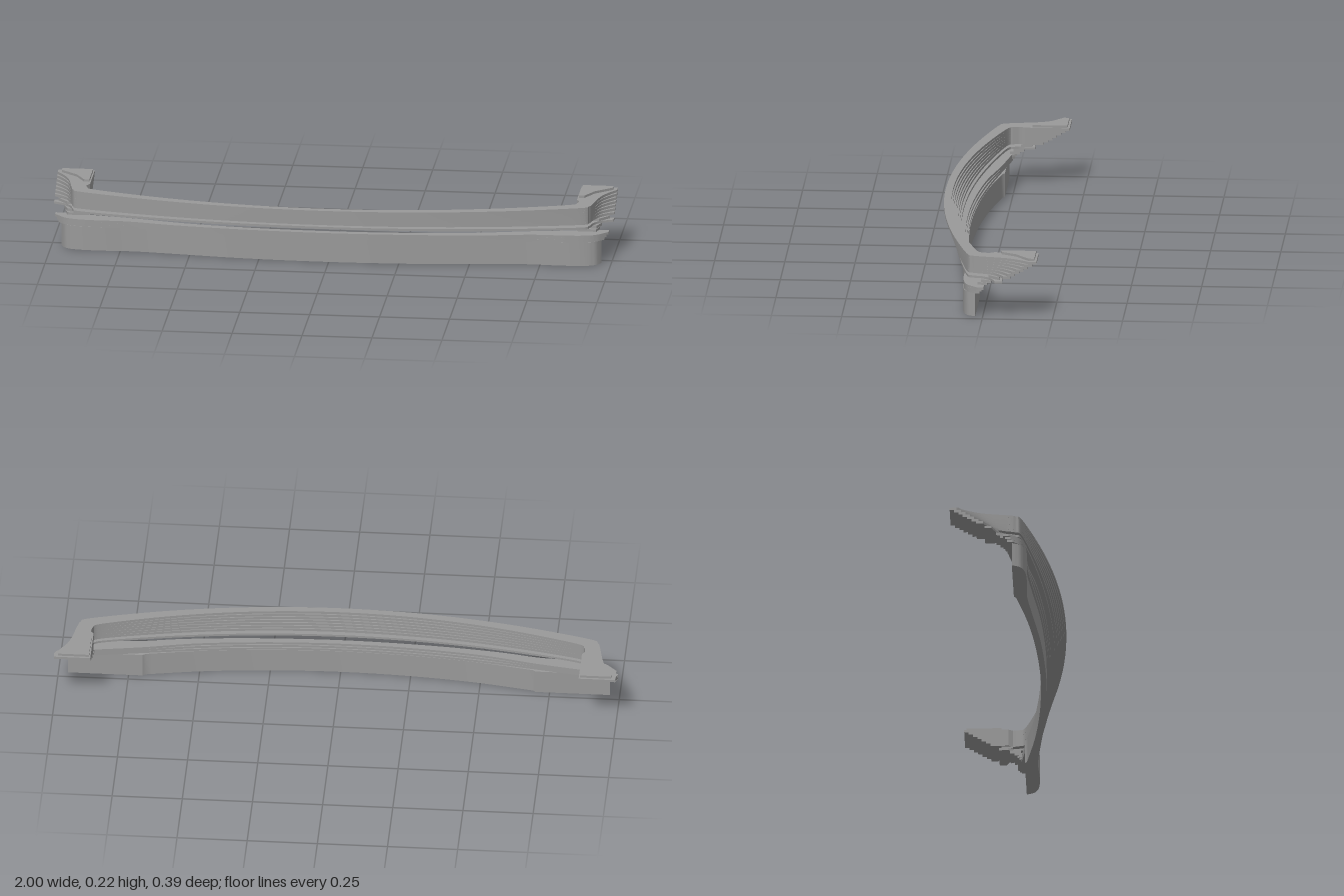
import * as THREE from 'three';
import { toCreasedNormals } from 'three/addons/utils/BufferGeometryUtils.js';

const lerp = THREE.MathUtils.lerp;
const vec = ([x, z]) => new THREE.Vector2(x, z);

// Extrudes a plan outline of [x, z] points between two heights.
function slab(name, points, y0, y1, material) {
  let geometry = new THREE.ExtrudeGeometry(new THREE.Shape(points), {
    depth: y1 - y0, bevelEnabled: false,
  });
  geometry.rotateX(Math.PI / 2);
  geometry.translate(0, y1, 0);
  geometry = toCreasedNormals(geometry, 0.5);
  const mesh = new THREE.Mesh(geometry, material);
  mesh.name = name;
  return mesh;
}

// Mirrors the +x half of a curved rail: outer edge, square end, inner edge.
function railOutline(outer, end, inner) {
  const smooth = (pts) => {
    // the spline starts at the mirrored point so it crosses x = 0 level
    const all = [...pts.slice(1).reverse().map(([x, z]) => [-x, z]), ...pts].map(vec);
    const p = new THREE.SplineCurve(all).getPoints((all.length - 1) * 6);
    return p.slice((p.length - 1) / 2);
  };
  const half = [...smooth(outer), ...end.map(vec), ...smooth(inner).reverse()];
  const left = half.slice(1, -1).reverse().map((p) => new THREE.Vector2(-p.x, p.y));
  return [...half, ...left];
}

// Points along a bow from z = front at the middle to z = side at x = reach.
function bow(front, side, reach) {
  return [0, 0.25, 0.5, 0.75, 1].map((u) => [u * reach, front - (front - side) * u * u]);
}

// Wall outline whose end wing sweeps out to x = 1 and back to z = rear.
function wingRail(front, rear, thickness) {
  const tip = rear + 0.025;
  return railOutline(
    [...bow(front, 0.062, 0.89), [0.922, 0.038], [0.932, 0.005],
      [0.95, lerp(0.005, tip, 0.5)], [0.975, lerp(0.005, tip, 0.8)], [1, tip]],
    [[1, rear], [0.87, rear], [0.87, Math.max(rear + 0.02, -0.035)]],
    [...bow(front - thickness, 0.03, 0.845), [0.875, 0.005], [0.88, -0.02]],
  );
}

export function createModel() {
  const model = new THREE.Group();
  model.name = 'steppedBumper';
  const grey = new THREE.MeshStandardMaterial({ color: 0x999999 });
  grey.name = 'grey';

  // Lower wall, bowed forward, with a bulge at each end
  model.add(slab('lowerWall', railOutline(
    [[0, 0.123], [0.3, 0.113], [0.55, 0.088], [0.7, 0.074], [0.82, 0.077],
      [0.9, 0.073], [0.945, 0.058], [0.965, 0.027]],
    [[0.7, 0.027]],
    [[0, 0.103], [0.25, 0.094], [0.48, 0.071], [0.69, 0.035]],
  ), 0, 0.087, grey));

  // Thin lips stepping out above the lower wall
  for (let i = 0; i < 3; i++) {
    const f = 0.128 + i * 0.005;
    const rear = 0.01 - i * 0.007;
    const x = 0.975 + i * 0.007;
    model.add(slab('lowerLip', railOutline(
      [[0, f], [0.3, f - 0.01], [0.55, f - 0.033], [0.72, 0.078], [0.84, 0.076],
        [0.91, 0.069], [0.95, 0.054], [x, rear + 0.02]],
      [[x, rear], [0.88, rear]],
      [[0, f - 0.023], [0.25, f - 0.032], [0.5, f - 0.058], [0.7, 0.04], [0.87, 0.012]],
    ), 0.087 + i * 0.0083, 0.087 + (i + 1) * 0.0083, grey));
  }

  // Narrow free-standing rail in the gap
  model.add(slab('middleRail', wingRail(0.152, -0.07, 0.022), 0.131, 0.139, grey));

  // Upper wall: stacked steps growing forward and rearward
  const steps = 7;
  for (let i = 0; i < steps; i++) {
    const t = i / (steps - 1);
    const y = 0.1485 + i * 0.009;
    model.add(slab('upperStep',
      wingRail(lerp(0.161, 0.193, t), lerp(-0.1, -0.193, t), 0.026), y, y + 0.009, grey));
  }

  // Small spacers between the rails and a cap on each end wing
  const endParts = [
    ['lowerSpacer', [[0.875, 0.02], [0.945, 0.02], [0.955, -0.015], [0.875, -0.015]], 0.112, 0.121],
    ['middleSpacer', [[0.875, 0.008], [0.945, 0.008], [0.96, -0.03], [0.875, -0.03]], 0.121, 0.131],
    ['upperSpacer', [[0.875, -0.02], [0.95, -0.02], [0.985, -0.06], [0.875, -0.06]], 0.139, 0.1485],
    ['wingCap', [[0.875, -0.06], [0.895, -0.062], [0.925, -0.115], [0.985, -0.165],
      [0.985, -0.185], [0.875, -0.185]], 0.2115, 0.22],
  ];
  for (const side of [-1, 1]) {
    for (const [name, pts, y0, y1] of endParts) {
      const outline = pts.map(([x, z]) => vec([x * side, z]));
      model.add(slab(name + (side > 0 ? 'Left' : 'Right'), outline, y0, y1, grey));
    }
  }
  return model;
}
